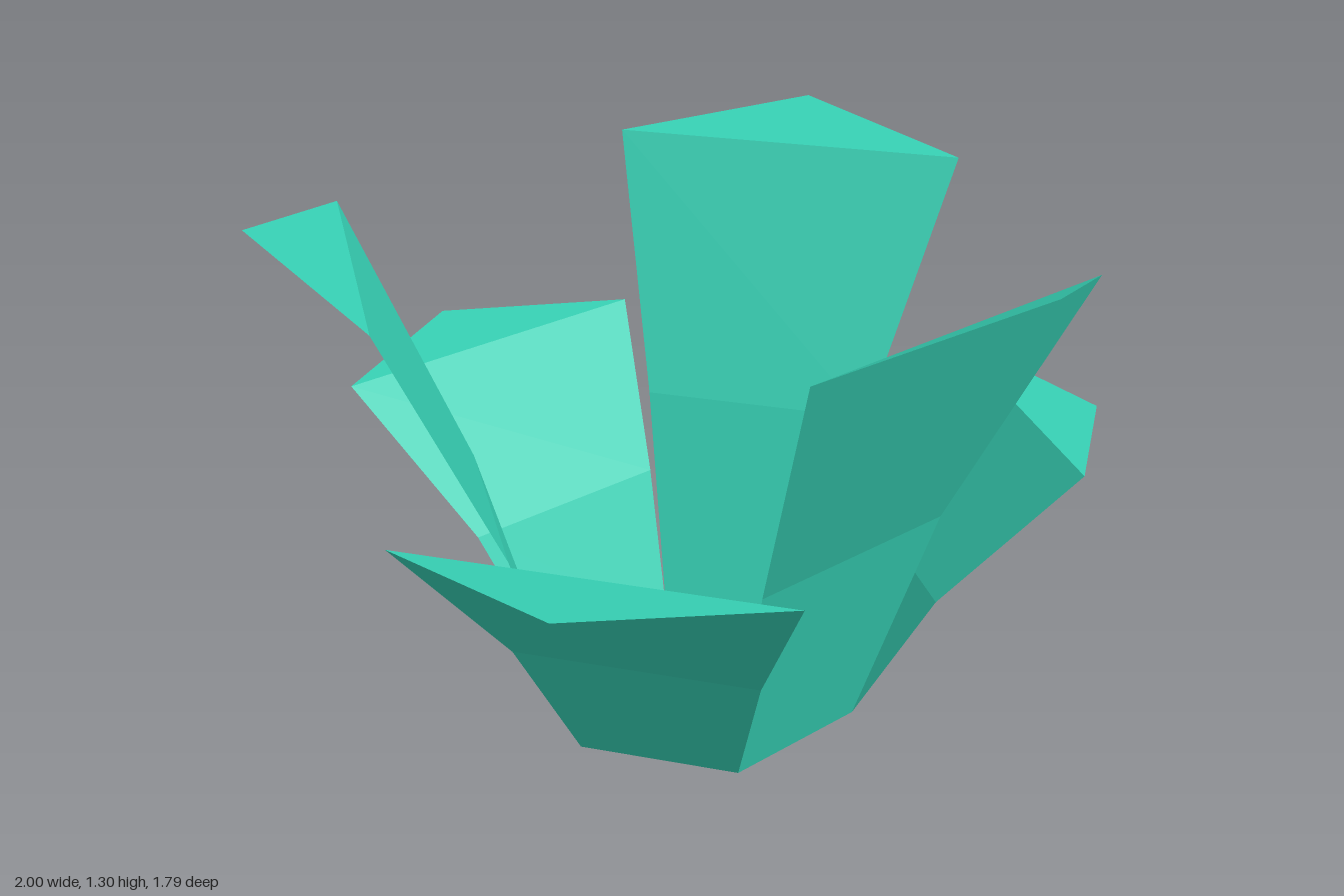
import * as THREE from 'three';

const TAN30 = Math.tan(Math.PI / 6);
const material = new THREE.MeshStandardMaterial({
  color: 0x36cfb3, flatShading: true, side: THREE.DoubleSide,
});

// One petal facing +x: two folded panels and a pointed tip.
// Each row is [distance from the axis, height]; its width fills a 60 degree sector.
function petalGeometry(midY, topY, tipY) {
  const rows = [[0.335, 0], [0.5, midY], [0.775, topY]];
  const positions = [];
  const index = [];
  rows.forEach(([r, y], i) => {
    positions.push(r, y, r * TAN30, r, y, -r * TAN30);
    if (i > 0) {
      const a = 2 * (i - 1);
      index.push(a, a + 1, a + 3, a, a + 3, a + 2);
    }
  });
  positions.push(1, tipY, 0);
  index.push(4, 5, 6);

  const geometry = new THREE.BufferGeometry();
  geometry.setAttribute('position', new THREE.Float32BufferAttribute(positions, 3));
  geometry.setIndex(index);
  geometry.computeVertexNormals();
  return geometry;
}

export function createModel() {
  const group = new THREE.Group();
  group.name = 'flower';

  // Short and tall petals alternate around the open hexagonal base
  const tipHeights = [0.665, 1.3, 0.725, 1.27, 0.725, 1.25];
  tipHeights.forEach((tipY, i) => {
    const tall = i % 2 === 1;
    const geometry = tall ? petalGeometry(0.56, 1.18, tipY) : petalGeometry(0.335, 0.705, tipY);
    const petal = new THREE.Mesh(geometry, material);
    petal.name = tall ? 'tallPetal' : 'shortPetal';
    petal.rotation.y = -i * Math.PI / 3;
    group.add(petal);
  });
  return group;
}
